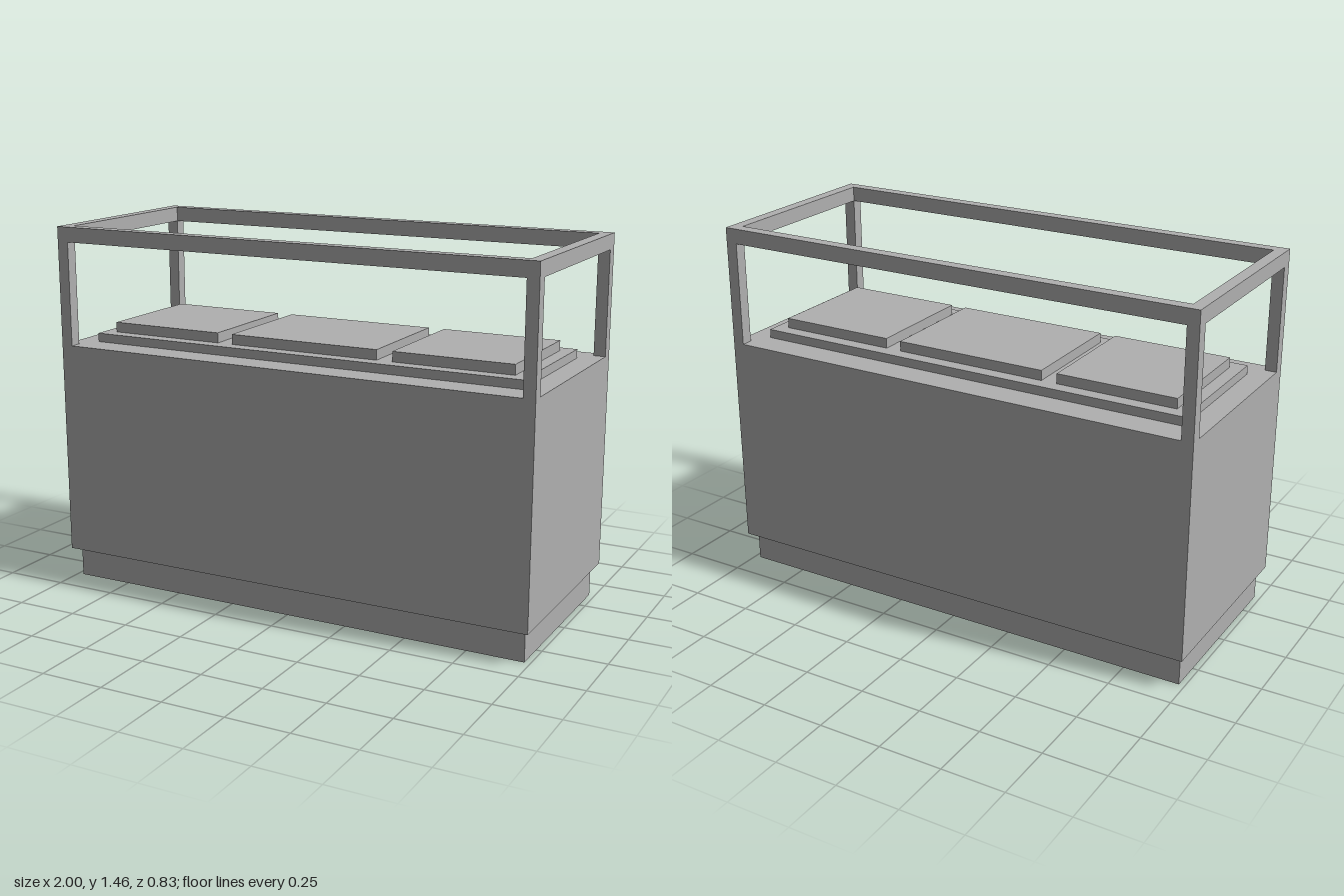
import * as THREE from 'three';

const HALF_X = 1, HALF_Z = 0.415;          // outer footprint
const POST = 0.047;                        // post and rail width
const BODY_BOTTOM = 0.125, BODY_TOP = 0.985;
const RAIL_BOTTOM = 1.4, TOP = 1.46;

export function createModel() {
  const model = new THREE.Group();
  model.name = 'displayCounter';
  const grey = new THREE.MeshStandardMaterial({ color: 0xb0b0b0 });
  grey.name = 'grey';

  // Box given by its centre in plan, its size and its bottom and top heights
  function addBox(name, x, z, width, depth, bottom, top, parent = model) {
    const mesh = new THREE.Mesh(new THREE.BoxGeometry(width, top - bottom, depth), grey);
    mesh.position.set(x, (bottom + top) / 2, z);
    mesh.name = name;
    parent.add(mesh);
  }

  // Recessed plinth and cabinet body
  addBox('plinth', 0, 0, 1.954, 0.75, 0, BODY_BOTTOM);
  addBox('cabinetBody', 0, 0, HALF_X * 2, HALF_Z * 2, BODY_BOTTOM, BODY_TOP);

  // Low deck with three raised display panels
  addBox('displayDeck', 0, 0, 1.82, 0.59, BODY_TOP, 1.02);
  for (const [name, x, width] of [
    ['leftPanel', 0.618, 0.482], ['middlePanel', 0, 0.626], ['rightPanel', -0.618, 0.482],
  ]) addBox(name, x, 0, width, 0.48, 1.02, 1.06);

  // Open frame: four corner posts under a rectangular top rail
  const frame = new THREE.Group();
  frame.name = 'openFrame';
  model.add(frame);
  for (const sx of [-1, 1]) for (const sz of [-1, 1]) {
    const name = (sz > 0 ? 'front' : 'back') + (sx > 0 ? 'Left' : 'Right') + 'Post';
    addBox(name, sx * (HALF_X - POST / 2), sz * (HALF_Z - POST / 2), POST, POST, BODY_TOP, RAIL_BOTTOM, frame);
  }

  const corners = (x, z) => [[-x, -z], [x, -z], [x, z], [-x, z]].map(([a, b]) => new THREE.Vector2(a, b));
  const ring = new THREE.Shape(corners(HALF_X, HALF_Z));
  ring.holes.push(new THREE.Path(corners(HALF_X - POST, HALF_Z - POST).reverse()));
  const railGeometry = new THREE.ExtrudeGeometry(ring, { depth: TOP - RAIL_BOTTOM, bevelEnabled: false });
  railGeometry.rotateX(-Math.PI / 2);
  const rail = new THREE.Mesh(railGeometry, grey);
  rail.position.y = RAIL_BOTTOM;
  rail.name = 'topRail';
  frame.add(rail);

  return model;
}
